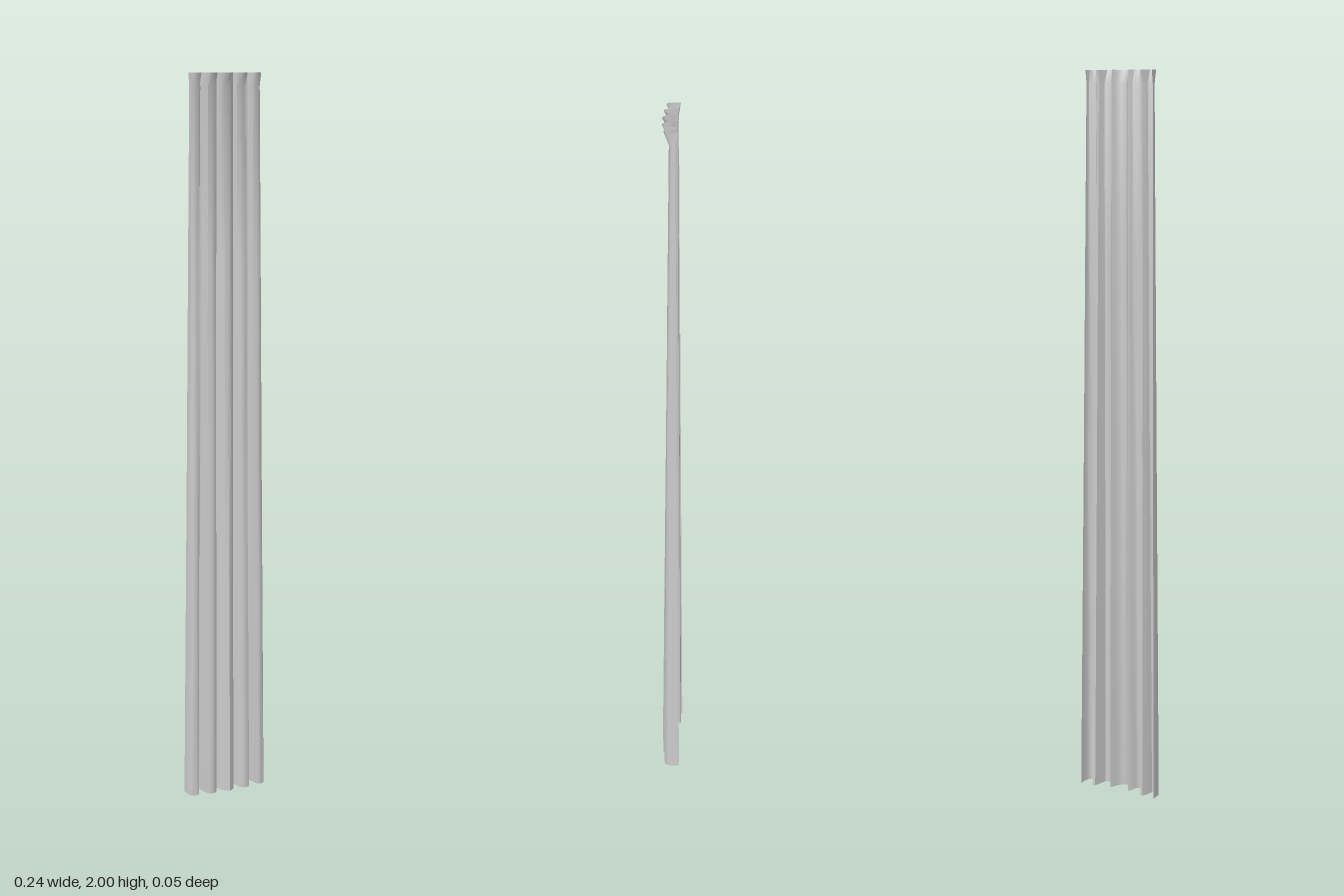
import * as THREE from 'three';
import { toCreasedNormals } from 'three/addons/utils/BufferGeometryUtils.js';

// Half of the pleated hem, from the centre fold to the outer edge: [x, z]
const HALF = [
  [0, 0.026], [0.009, 0.021], [0.018, 0.011], [0.024, -0.005], [0.028, -0.014],
  [0.033, -0.008], [0.037, 0.014], [0.045, 0.021], [0.055, 0.022], [0.064, 0.018],
  [0.069, -0.003], [0.074, -0.024], [0.081, -0.026], [0.087, -0.008], [0.091, 0.012],
  [0.1, 0.016], [0.11, 0.014], [0.117, 0.004], [0.118, -0.028],
];

// Rows from hem to rim: height, width scale, pleat depth scale, shift in z
const ROWS = [
  [0, 1, 1, 0],
  [0.5, 0.96, 0.84, -0.001],
  [1, 0.92, 0.68, -0.002],
  [1.5, 0.885, 0.52, -0.003],
  [1.965, 0.85, 0.36, -0.004],
  [2, 0.85, 0.8, 0.003],
];

// Loft the pleated cross-section through the rows
function pleatedSheet() {
  const section = [...HALF.slice(1).reverse().map(([x, z]) => [-x, z]), ...HALF];
  const n = section.length;
  const positions = [];
  const index = [];
  ROWS.forEach(([y, width, depth, shift], r) => {
    section.forEach(([x, z], i) => {
      positions.push(x * width, y, z * depth + shift);
      if (r > 0 && i > 0) {
        const d = r * n + i, c = d - 1, b = d - n, a = b - 1;
        index.push(a, b, d, a, d, c);
      }
    });
  });
  const geometry = new THREE.BufferGeometry();
  geometry.setAttribute('position', new THREE.Float32BufferAttribute(positions, 3));
  geometry.setIndex(index);
  return toCreasedNormals(geometry, 0.8);
}

export function createModel() {
  const group = new THREE.Group();
  group.name = 'curtain';
  const material = new THREE.MeshStandardMaterial({ color: 0xcccccc, side: THREE.DoubleSide });
  const cloth = new THREE.Mesh(pleatedSheet(), material);
  cloth.name = 'pleatedCloth';
  group.add(cloth);
  return group;
}
